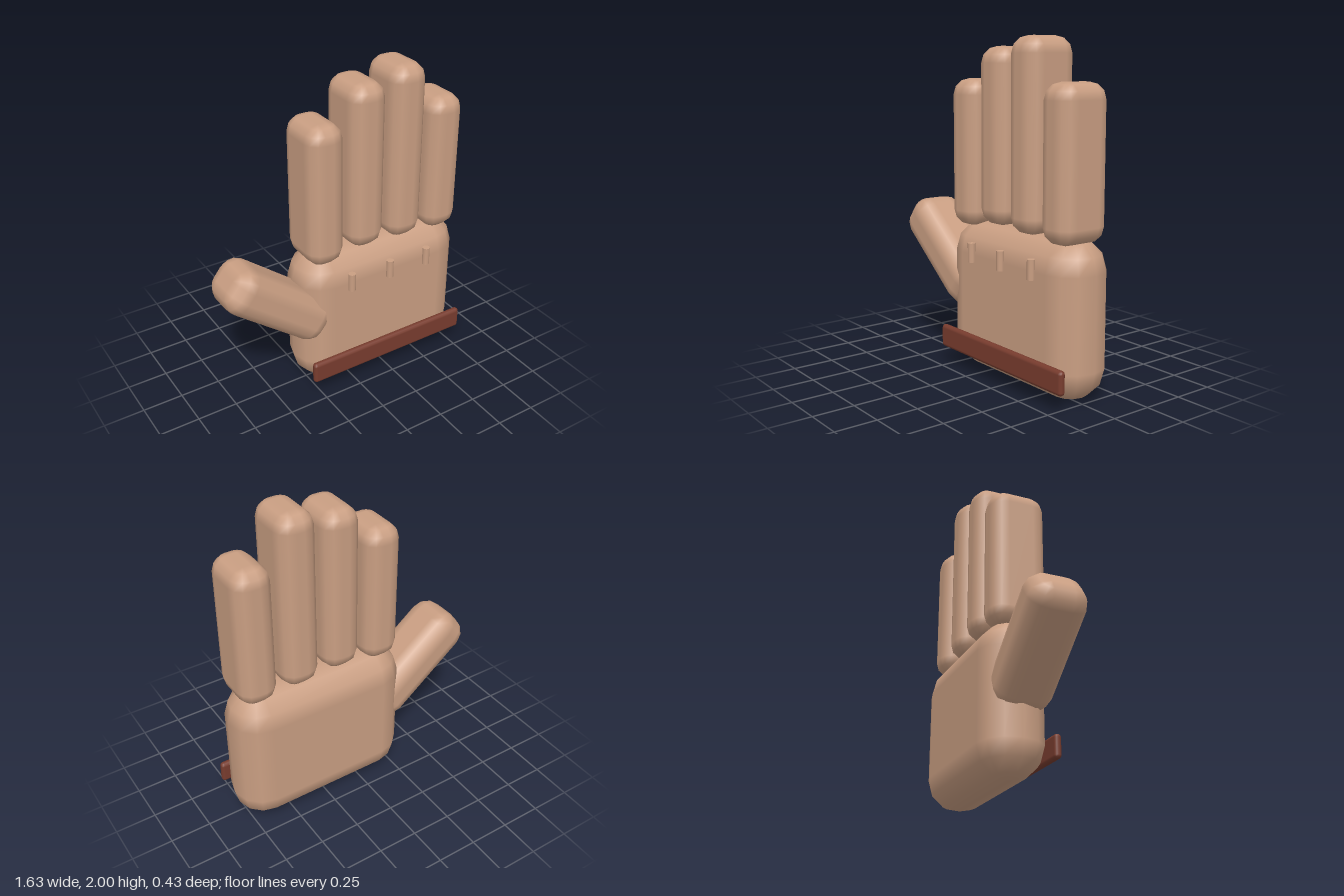
import * as THREE from 'three';

// Box with rounded edges: a sphere in 30 degree steps, its octants pushed apart
function roundedBox(w, h, d, r) {
  const lats = [[-90, -1], [-60, -1], [-30, -1], [0, -1], [0, 1], [30, 1], [60, 1], [90, 1]];
  const cx = w / 2 - r, cy = h / 2 - r, cz = d / 2 - r;
  const pos = [], nor = [], idx = [];
  const cols = 16;
  const addRing = (lat, sy, flat) => {
    const a = THREE.MathUtils.degToRad(lat);
    for (let q = 0; q < 4; q++) {
      const sx = q === 0 || q === 3 ? 1 : -1, sz = q < 2 ? 1 : -1;
      for (let k = 0; k < 4; k++) {
        const b = (q * 90 + k * 30) * Math.PI / 180;
        const n = [Math.cos(a) * Math.cos(b), Math.sin(a), Math.cos(a) * Math.sin(b)];
        pos.push(flat ? 0 : sx * cx + n[0] * r, sy * cy + n[1] * r, flat ? 0 : sz * cz + n[2] * r);
        nor.push(...n);
      }
    }
  };
  addRing(-90, -1, true);
  lats.forEach(([lat, sy]) => addRing(lat, sy, false));
  addRing(90, 1, true);
  for (let i = 0; i < lats.length + 1; i++) {
    for (let j = 0; j < cols; j++) {
      const a = i * cols + j, b = i * cols + (j + 1) % cols;
      idx.push(a, a + cols, b, b, a + cols, b + cols);
    }
  }
  const g = new THREE.BufferGeometry();
  g.setAttribute('position', new THREE.Float32BufferAttribute(pos, 3));
  g.setAttribute('normal', new THREE.Float32BufferAttribute(nor, 3));
  g.setIndex(idx);
  return g;
}

export function createModel() {
  const model = new THREE.Group();
  model.name = 'hand';
  const skin = new THREE.MeshStandardMaterial({ color: 0xc99e82 });
  skin.name = 'skin';
  const leather = new THREE.MeshStandardMaterial({ color: 0x783c2e });
  leather.name = 'redLeather';

  const add = (name, geometry, material, x, y, z) => {
    const mesh = new THREE.Mesh(geometry, material);
    mesh.name = name;
    mesh.position.set(x, y, z);
    model.add(mesh);
    return mesh;
  };

  // Palm
  add('palm', roundedBox(1.14, 0.92, 0.39, 0.19), skin, 0.25, 0.46, -0.02);

  // Fingers: name, centre x, bottom, top
  [
    ['indexFinger', -0.162, 0.88, 1.76],
    ['middleFinger', 0.114, 0.92, 1.945],
    ['ringFinger', 0.387, 0.905, 2.0],
    ['littleFinger', 0.66, 0.885, 1.755],
  ].forEach(([name, x, y0, y1]) =>
    add(name, roundedBox(0.236, y1 - y0, 0.344, 0.095), skin, x, (y0 + y1) / 2, 0));

  // Thumb, leaning outwards
  add('thumb', roundedBox(0.29, 0.77, 0.344, 0.11), skin, -0.464, 0.673, 0)
    .rotation.z = THREE.MathUtils.degToRad(51.5);

  // Small ridges below the finger gaps
  [-0.025, 0.25, 0.523].forEach((x, i) =>
    add('knuckleRidge' + (i + 1), new THREE.CylinderGeometry(0.023, 0.023, 0.115, 10), skin, x, 0.743, 0.183));

  // Wrist strap
  add('wristStrap', roundedBox(1.115, 0.14, 0.044, 0.021), leather, 0.25, 0.175, 0.193);

  return model;
}
